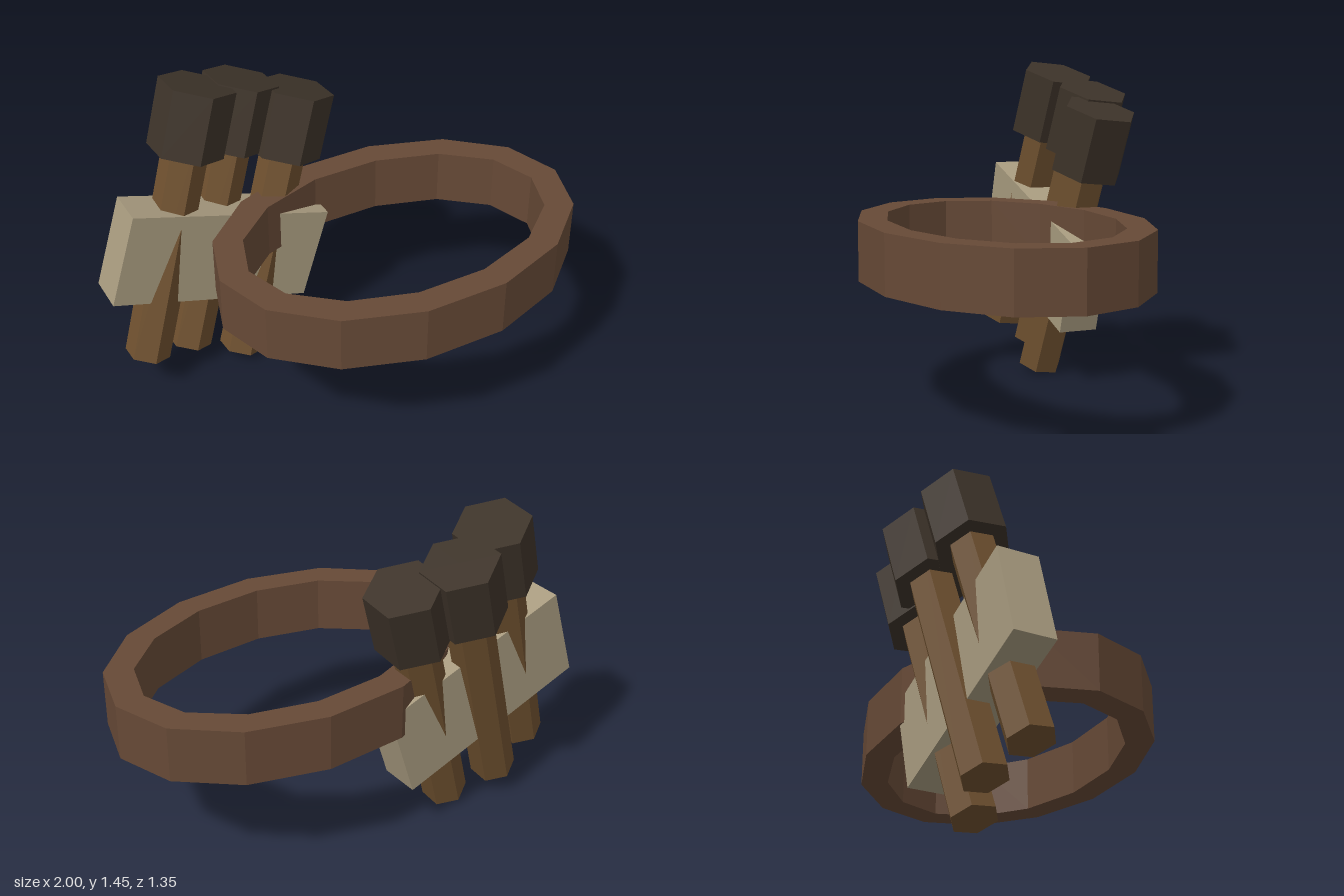
import * as THREE from 'three';

const mat = (color) => new THREE.MeshStandardMaterial({ color, flatShading: true });
const leather = mat(0x664936);
const canvas = mat(0xa89b7f);
const wood = mat(0x6e502f);
const charred = mat(0x3d3329);

const ROLL = THREE.MathUtils.degToRad(-17.4); // sideways slant of pouch and torches
const LEAN = THREE.MathUtils.degToRad(-5.9);  // backward lean of the torches

function addMesh(parent, name, geometry, material) {
  const mesh = new THREE.Mesh(geometry, material);
  mesh.name = name;
  parent.add(mesh);
  return mesh;
}

// Corners of a 14-sided oval
function oval(rx, ry) {
  return Array.from({ length: 14 }, (_, i) => {
    const a = (i / 14) * Math.PI * 2;
    return new THREE.Vector2(rx * Math.cos(a), ry * Math.sin(a));
  });
}

// Torch standing on its origin: hexagonal shaft and wider hexagonal head
function createTorch(name) {
  const length = 1.285, headHeight = 0.3;
  const shaftLength = length - headHeight / 2;
  const torch = new THREE.Group();
  torch.name = name;
  addMesh(torch, 'shaft', new THREE.CylinderGeometry(0.101, 0.101, shaftLength, 6), wood)
    .position.y = shaftLength / 2;
  addMesh(torch, 'head', new THREE.CylinderGeometry(0.166, 0.166, headHeight, 6), charred)
    .position.y = length - headHeight / 2;
  torch.rotation.set(LEAN, 0, ROLL);
  return torch;
}

export function createModel() {
  const model = new THREE.Group();
  model.name = 'torchBelt';

  // Oval belt ring
  const ring = new THREE.Shape(oval(0.83, 0.587));
  ring.holes.push(new THREE.Path(oval(0.7, 0.464)));
  const beltGeometry = new THREE.ExtrudeGeometry(ring, { depth: 0.255, bevelEnabled: false });
  beltGeometry.rotateX(-Math.PI / 2);
  addMesh(model, 'belt', beltGeometry, leather).position.set(0.17, 0.557, 0.105);

  // Slanted holder block behind the belt
  const holder = addMesh(model, 'holder', new THREE.BoxGeometry(0.954, 0.44, 0.18), canvas);
  holder.position.set(-0.48, 0.598, -0.37);
  holder.rotation.z = ROLL;

  // Three torches through the holder, the middle one set further back
  ['rightTorch', 'middleTorch', 'leftTorch'].forEach((name, i) => {
    const torch = createTorch(name);
    torch.position.set(-0.861 + 0.228 * i, 0.178 - 0.073 * i, i === 1 ? -0.385 : -0.315);
    model.add(torch);
  });

  return model;
}
